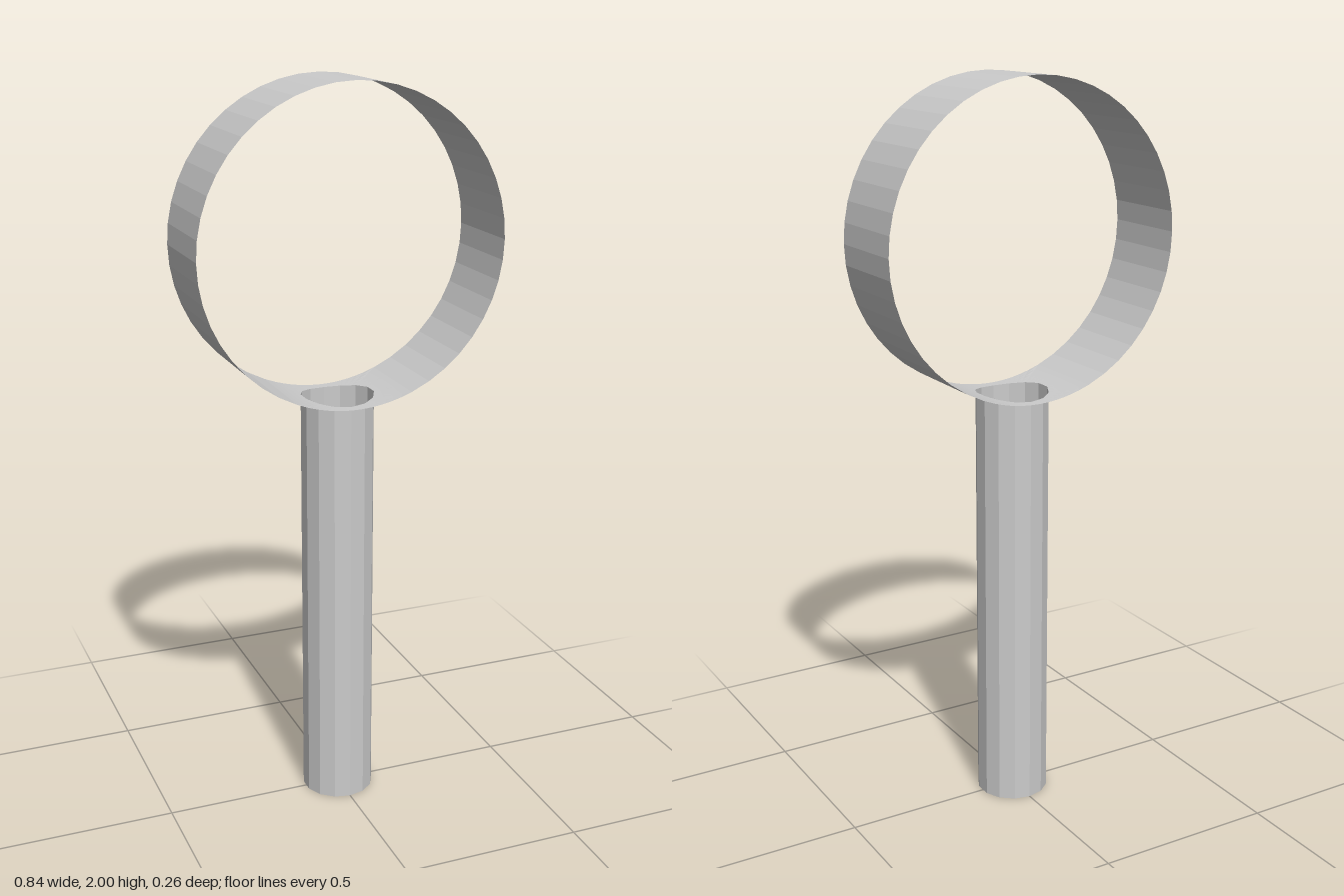
import * as THREE from 'three';

const RING_R = 0.418, RING_Y = 1.582, HALF_W = 0.129;
const TUBE_R = 0.099, SIDES = 14;
const GAP = Math.PI / 8; // half angle of the pierced part of the band

// height of the band's underside at a given x
const bandY = (x) => RING_Y - Math.sqrt(RING_R * RING_R - x * x);

// bottom of the band, pierced by the handle's outline
function piercedPatch() {
  const halfX = RING_R * Math.sin(GAP), levels = 4, step = (2 * Math.PI) / SIDES;
  const corner = Math.atan2(halfX, HALF_W);
  const angles = [corner, Math.PI - corner, Math.PI + corner, 2 * Math.PI - corner];
  for (let i = 0; i < SIDES * 4; i++) angles.push((i * step) / 4);
  angles.sort((a, b) => a - b);
  const n = angles.length, pos = [], index = [];
  angles.forEach((a) => {
    const s = Math.sin(a), c = Math.cos(a);
    const inner = (TUBE_R * Math.cos(step / 2)) / Math.cos((a % step) - step / 2);
    const outer = Math.min(halfX / Math.max(Math.abs(s), 1e-6), HALF_W / Math.max(Math.abs(c), 1e-6));
    for (let k = 0; k <= levels; k++) {
      const r = inner + ((outer - inner) * k) / levels;
      pos.push(r * s, bandY(r * s), r * c);
    }
  });
  for (let i = 0; i < n; i++) {
    for (let k = 0; k < levels; k++) {
      const a = i * (levels + 1) + k, b = ((i + 1) % n) * (levels + 1) + k;
      index.push(a, b, a + 1, b, b + 1, a + 1); // faces outward, down
    }
  }
  const g = new THREE.BufferGeometry();
  g.setAttribute('position', new THREE.Float32BufferAttribute(pos, 3));
  g.setIndex(index);
  g.computeVertexNormals();
  return g;
}

export function createModel() {
  const group = new THREE.Group();
  const mat = new THREE.MeshStandardMaterial({ color: 0xcccccc, flatShading: true, side: THREE.DoubleSide });
  const add = (name, geometry) => {
    const mesh = new THREE.Mesh(geometry, mat);
    mesh.name = name;
    group.add(mesh);
    return mesh;
  };

  // thin open ring, axis along z, left open at the bottom for the pierced patch
  const band = new THREE.CylinderGeometry(RING_R, RING_R, HALF_W * 2, 42, 1, true, GAP, 2 * Math.PI - 2 * GAP);
  add('ringBand', band.rotateX(Math.PI / 2)).position.y = RING_Y;
  add('ringBottom', piercedPatch());

  // hollow handle whose top edge follows the ring
  const tube = new THREE.CylinderGeometry(TUBE_R, TUBE_R, 1, SIDES, 1, true).translate(0, 0.5, 0);
  const p = tube.attributes.position;
  for (let i = 0; i < p.count; i++) {
    if (p.getY(i) > 0.5) p.setY(i, bandY(p.getX(i)));
  }
  add('handleTube', tube);

  // closed end of the handle
  const cap = new THREE.CircleGeometry(TUBE_R, SIDES, Math.PI / 2);
  add('handleEndCap', cap.rotateX(Math.PI / 2));

  return group;
}
